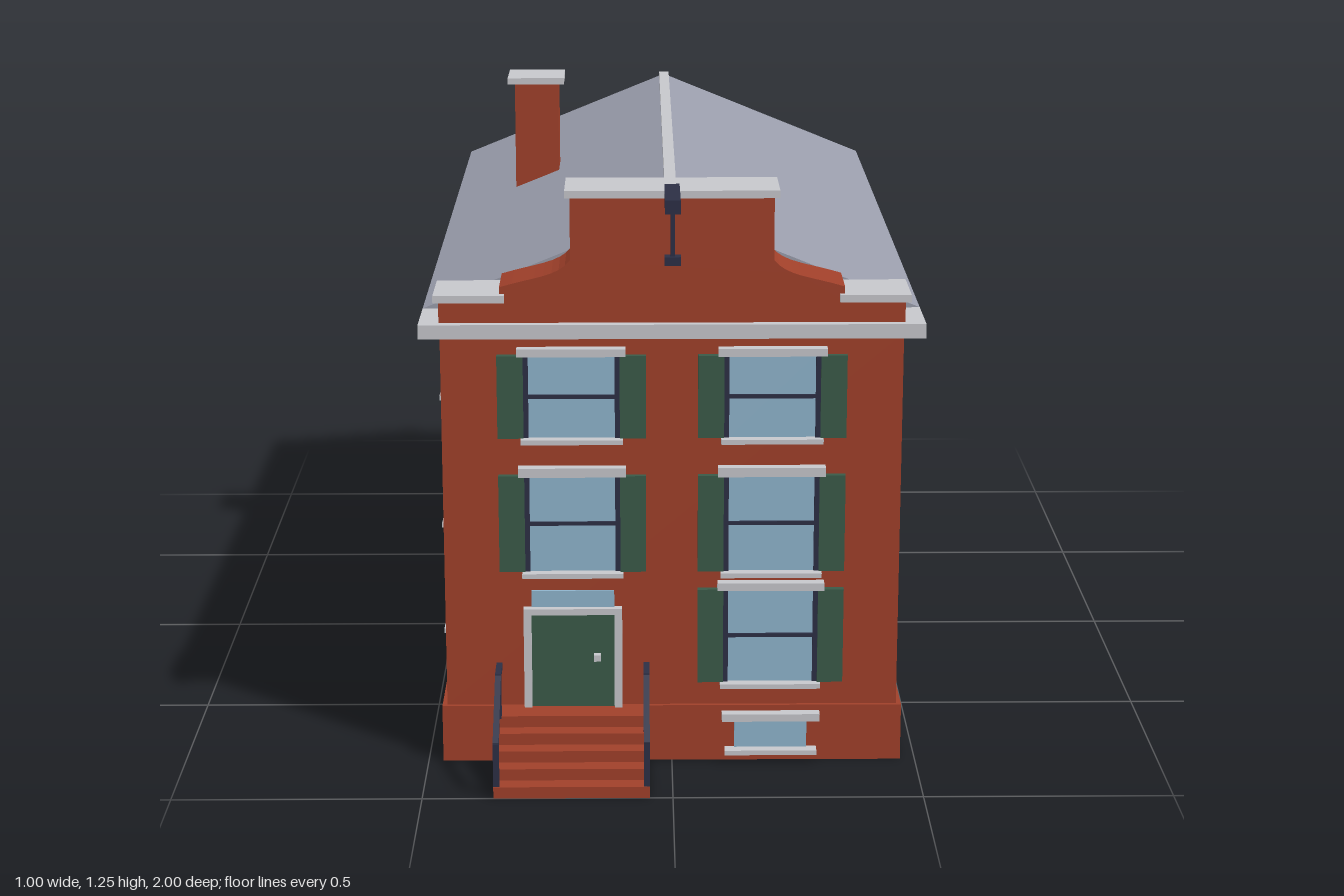
import * as THREE from 'three';

const mat = (name, color) => {
  const m = new THREE.MeshStandardMaterial({ color });
  m.name = name;
  return m;
};

export function createModel() {
  const brick = mat('brick', 0xa0402a);
  const slate = mat('slate', 0x9a9dac);
  const stone = mat('stone', 0xc6c7cb);
  const glass = mat('glass', 0x8fb4cd);
  const green = mat('green paint', 0x3a5a48);
  const iron = mat('dark iron', 0x2c2f45);

  const house = new THREE.Group();
  house.name = 'townHouse';

  const add = (parent, name, geometry, material) => {
    const m = new THREE.Mesh(geometry, material);
    m.name = name;
    parent.add(m);
    return m;
  };
  // Box given by its limits on each axis
  const box = (parent, name, material, x0, x1, y0, y1, z0, z1) => {
    const m = add(parent, name, new THREE.BoxGeometry(x1 - x0, y1 - y0, z1 - z0), material);
    m.position.set((x0 + x1) / 2, (y0 + y1) / 2, (z0 + z1) / 2);
    return m;
  };
  // Outline in x and y, extruded between two z values
  const slab = (name, material, shape, z0, z1) => {
    const geo = new THREE.ExtrudeGeometry(shape, { depth: z1 - z0, bevelEnabled: false, curveSegments: 8 });
    return add(house, name, geo.translate(0, 0, z0), material);
  };

  // Walls, plinth and cornice
  box(house, 'plinth', brick, -0.47, 0.47, 0, 0.12, -0.97, 0.808);
  box(house, 'walls', brick, -0.46, 0.46, 0.12, 0.905, -0.96, 0.8);
  box(house, 'cornice', stone, -0.5, 0.5, 0.903, 0.932, -1, 0.838);

  // Pitched roof and ridge cap
  const roof = new THREE.Shape();
  roof.moveTo(-0.5, 0.932).lineTo(0.5, 0.932).lineTo(0, 1.135);
  slab('roof', slate, roof, -1, 0.7);
  box(house, 'ridgeCap', stone, -0.012, 0.012, 1.115, 1.147, -0.96, 0.7);

  // Curved front gable with stone caps
  const gable = new THREE.Shape();
  gable.moveTo(-0.46, 0.93).lineTo(0.46, 0.93).lineTo(0.46, 0.975).lineTo(0.34, 0.975).lineTo(0.34, 1.004)
    .bezierCurveTo(0.27, 1.025, 0.225, 1.025, 0.2, 1.058)
    .lineTo(0.2, 1.186).lineTo(-0.2, 1.186).lineTo(-0.2, 1.058)
    .bezierCurveTo(-0.225, 1.025, -0.27, 1.025, -0.34, 1.004)
    .lineTo(-0.34, 0.975).lineTo(-0.46, 0.975);
  slab('frontGable', brick, gable, 0.7, 0.82);
  box(house, 'gableTopCap', stone, -0.21, 0.21, 1.184, 1.199, 0.7, 0.835);
  box(house, 'leftShoulderCap', stone, 0.33, 0.47, 0.975, 0.99, 0.7, 0.835);
  box(house, 'rightShoulderCap', stone, -0.47, -0.33, 0.975, 0.99, 0.7, 0.835);

  // Hoisting beam, rod and hook
  box(house, 'hoistBeam', iron, -0.015, 0.015, 1.174, 1.202, 0.78, 0.94);
  box(house, 'hoistRod', iron, -0.004, 0.004, 1.085, 1.176, 0.921, 0.929);
  box(house, 'hoistHook', iron, -0.016, 0.016, 1.073, 1.09, 0.914, 0.936);

  // Chimney
  box(house, 'chimney', brick, -0.35, -0.25, 0.96, 1.236, -0.33, -0.23);
  box(house, 'chimneyCap', stone, -0.366, -0.237, 1.235, 1.25, -0.345, -0.217);

  // Window on a wall group, whose local z = 0 is the wall surface
  const addWindow = (wall, x, y0, y1, half, o = {}) => {
    const { jamb = 0.01, lintel = 0.016, over = 0.022, shutters = false, bar = true } = o;
    const w = new THREE.Group();
    w.name = 'window';
    w.position.x = x;
    wall.add(w);
    box(w, 'pane', glass, -half, half, y0, y1, -0.004, 0.005);
    for (const s of [-1, 1]) {
      if (jamb) {
        const c = s * (half + jamb / 2);
        box(w, 'jamb', iron, c - jamb / 2, c + jamb / 2, y0, y1, -0.004, 0.009);
      }
      if (shutters) {
        const c = s * (half + jamb + 0.026);
        box(w, 'shutter', green, c - 0.026, c + 0.026, y0, y1, -0.004, 0.013);
      }
    }
    if (bar) {
      const m = (y0 + y1) / 2;
      box(w, 'crossBar', iron, -half, half, m - 0.004, m + 0.004, 0, 0.009);
    }
    box(w, 'lintel', stone, -half - over, half + over, y1, y1 + lintel, -0.004, 0.022);
    box(w, 'sill', stone, -half - over + 0.006, half + over - 0.006, y0 - 0.01, y0, -0.004, 0.026);
  };
  const addWall = (name, x, z, turn) => {
    const g = new THREE.Group();
    g.name = name;
    g.position.set(x, 0, z);
    g.rotation.y = turn;
    house.add(g);
    return g;
  };

  // Front windows with shutters, and the small cellar window
  const front = addWall('frontWindows', 0, 0.8, 0);
  for (const x of [-0.2, 0.2]) {
    addWindow(front, x, 0.692, 0.862, 0.086, { shutters: true });
    addWindow(front, x, 0.411, 0.613, 0.086, { shutters: true, lintel: 0.019 });
  }
  addWindow(front, 0.2, 0.172, 0.372, 0.086, { shutters: true });
  const cellar = addWall('cellarWindow', 0, 0.808, 0);
  addWindow(cellar, 0.202, 0.03, 0.092, 0.074, { jamb: 0, bar: false, over: 0.026 });

  // Back windows
  const back = addWall('backWindows', 0, -0.96, Math.PI);
  for (const x of [-0.2, 0.2])
    for (const [y0, y1] of [[0.692, 0.86], [0.41, 0.613], [0.172, 0.356]])
      addWindow(back, x, y0, y1, 0.086);

  // Side windows
  for (const s of [-1, 1]) {
    const side = addWall(s > 0 ? 'leftWindows' : 'rightWindows', s * 0.46, 0, s * Math.PI / 2);
    for (const z of [0.42, -0.05, -0.523])
      for (const [y0, y1, lintel] of [[0.69, 0.856, 0.014], [0.409, 0.571, 0.022], [0.17, 0.33, 0.018]])
        addWindow(side, -s * z, y0, y1, 0.06, { jamb: 0.004, lintel, over: 0.016 });
  }

  // Door with stone surround, transom light and knob
  box(house, 'doorSurroundRight', stone, -0.301, -0.285, 0.12, 0.333, 0.796, 0.818);
  box(house, 'doorSurroundLeft', stone, -0.117, -0.101, 0.12, 0.333, 0.796, 0.818);
  box(house, 'doorSurroundTop', stone, -0.285, -0.117, 0.32, 0.333, 0.796, 0.818);
  box(house, 'door', green, -0.285, -0.117, 0.12, 0.32, 0.796, 0.81);
  box(house, 'transomLight', glass, -0.285, -0.117, 0.333, 0.368, 0.796, 0.805);
  box(house, 'doorKnob', stone, -0.159, -0.145, 0.221, 0.235, 0.81, 0.822);

  // Front steps
  for (let i = 0; i < 5; i++)
    box(house, 'step', brick, -0.358, -0.046, i * 0.024, (i + 1) * 0.024, 0.805, 1 - i * 0.034);

  // Iron handrails on both sides of the steps
  for (const x of [-0.352, -0.052]) {
    const rail = new THREE.Group();
    rail.name = 'handrail';
    rail.position.x = x;
    house.add(rail);
    const t = 0.006;
    box(rail, 'lowerPost', iron, -t, t, 0.024, 0.115, 0.987, 0.999);
    box(rail, 'upperPost', iron, -t, t, 0.115, 0.211, 0.855, 0.867);
    box(rail, 'levelRail', iron, -t, t, 0.2, 0.212, 0.8, 0.866);
    const dy = 0.094, dz = -0.132;
    const slope = add(rail, 'slopedRail', new THREE.BoxGeometry(2 * t, 2 * t, Math.hypot(dy, dz)), iron);
    slope.position.set(0, 0.159, 0.927);
    slope.rotation.x = Math.atan2(dy, -dz);
  }

  return house;
}
